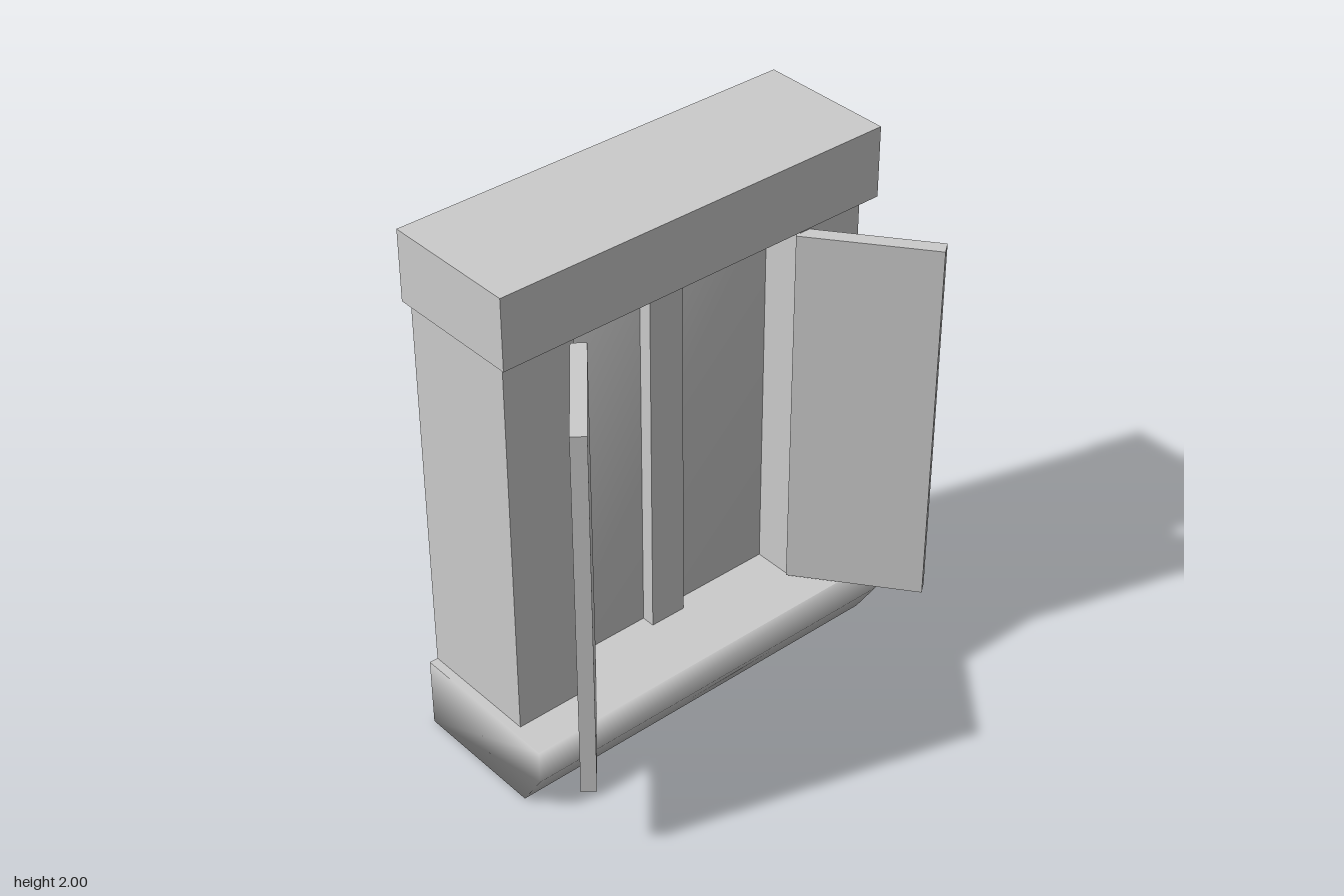
import * as THREE from 'three';
import { mergeVertices } from 'three/addons/utils/BufferGeometryUtils.js';

const material = new THREE.MeshStandardMaterial({ color: 0xcccccc });

function add(parent, name, geometry) {
  const mesh = new THREE.Mesh(geometry, material);
  mesh.name = name;
  parent.add(mesh);
  return mesh;
}

// Box given by its limits on each axis
function block(x0, x1, y0, y1, z0, z1) {
  return new THREE.BoxGeometry(x1 - x0, y1 - y0, z1 - z0)
    .translate((x0 + x1) / 2, (y0 + y1) / 2, (z0 + z1) / 2);
}

// Weld corners so the normals blend across edges
function soften(geometry) {
  geometry.deleteAttribute('uv');
  geometry.deleteAttribute('normal');
  const welded = mergeVertices(geometry, 1e-4);
  welded.computeVertexNormals();
  return welded;
}

// Keep upward faces flat on a softened geometry
function flattenTop(geometry) {
  const g = geometry.toNonIndexed();
  const p = g.attributes.position, n = g.attributes.normal;
  const top = 0.27 - 1e-4;
  for (let i = 0; i < p.count; i += 3) {
    if ([0, 1, 2].every(k => p.getY(i + k) > top)) {
      for (let k = 0; k < 3; k++) n.setXYZ(i + k, 0, 1, 0);
    }
  }
  return g;
}

export function createModel() {
  const model = new THREE.Group();
  model.name = 'shutteredWindow';

  // Sill: side profile (z, y) with a chamfered lower front, swept along x
  const profile = [[-0.44, 0], [0.07, 0], [0.16, 0.14], [0.16, 0.27], [-0.44, 0.27]];
  const sill = new THREE.ExtrudeGeometry(
    new THREE.Shape(profile.map(([z, y]) => new THREE.Vector2(z, y))),
    { depth: 1.545, bevelEnabled: false });
  sill.rotateY(-Math.PI / 2).translate(0.7725, 0, 0);
  add(model, 'sill', flattenTop(soften(sill)));

  // Lintel and jambs
  add(model, 'lintel', block(-0.7725, 0.7725, 1.74, 2, -0.44, 0.07));
  add(model, 'rightJamb', block(-0.74, -0.467, 0.27, 1.74, -0.44, 0.02));
  add(model, 'leftJamb', block(0.475, 0.74, 0.27, 1.74, -0.44, 0.02));

  // Recessed pane and the central post in front of it
  add(model, 'pane', soften(block(-0.467, 0.475, 0.27, 1.74, -0.29, -0.14)));
  add(model, 'centrePost', block(-0.07, 0.07, 0.27, 1.74, -0.16, -0.09));

  // Open shutters, each swung by its own angle
  const shutters = [
    ['rightShutter', -0.622, 0.995, 0.235, Math.atan2(0.375, 0.305)],
    ['leftShutter', 0.6225, 0.99, 0.2, -Math.atan2(0.385, 0.295)],
  ];
  for (const [name, x, y, z, angle] of shutters) {
    const shutter = add(model, name, new THREE.BoxGeometry(0.485, 1.41, 0.053));
    shutter.position.set(x, y, z);
    shutter.rotation.y = angle;
  }

  return model;
}
